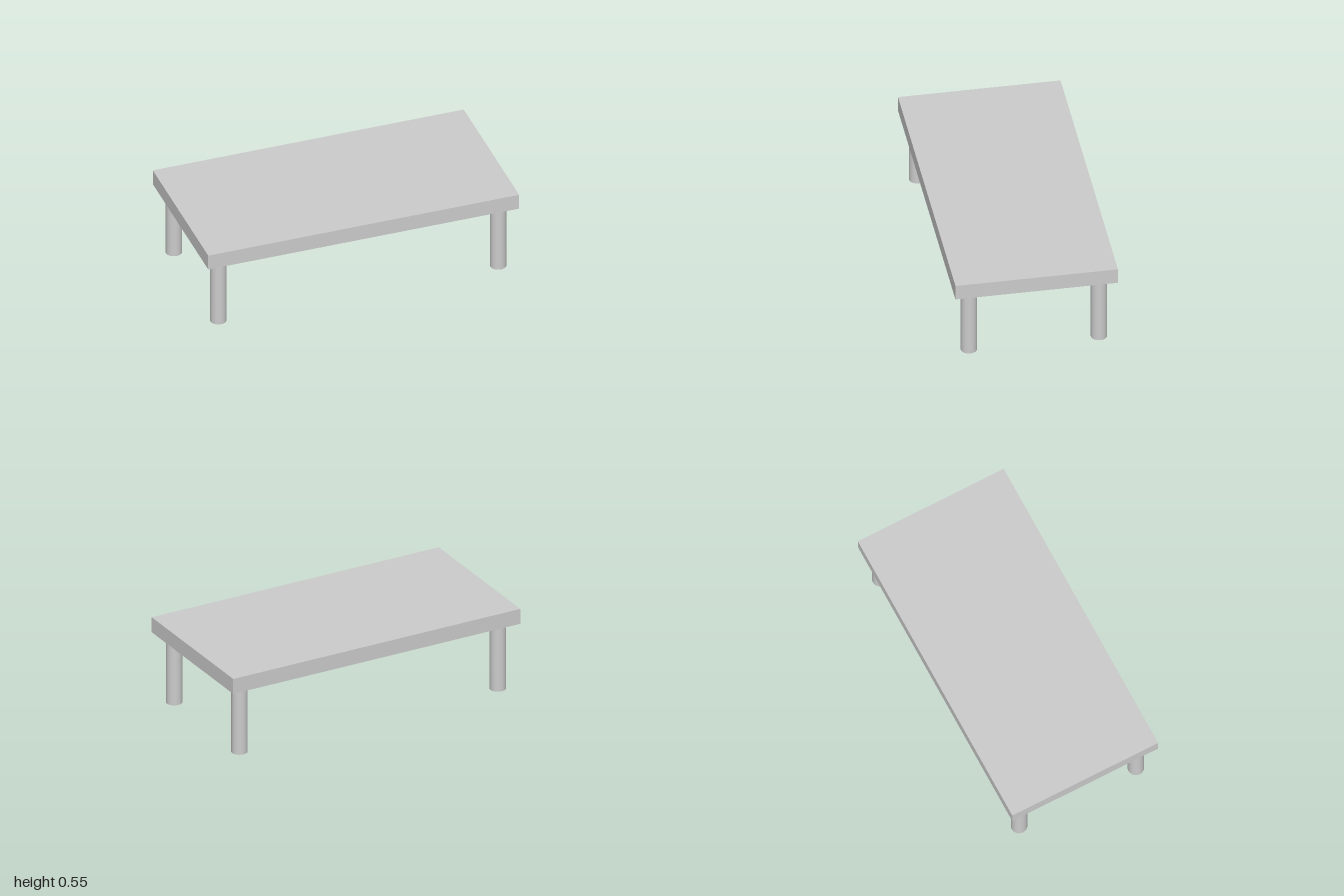
import * as THREE from 'three';

export function createModel() {
  const group = new THREE.Group();
  group.name = 'table';
  const material = new THREE.MeshStandardMaterial({ color: 0xcccccc });

  const legHeight = 0.45;
  const topThickness = 0.1;

  // Flat rectangular slab
  const top = new THREE.Mesh(new THREE.BoxGeometry(2, topThickness, 1), material);
  top.name = 'tableTop';
  top.position.y = legHeight + topThickness / 2;
  group.add(top);

  // Four round legs, one near each corner
  const legGeometry = new THREE.CylinderGeometry(0.05, 0.05, legHeight, 32);
  for (const [xName, x] of [['Left', 0.9], ['Right', -0.9]]) {
    for (const [zName, z] of [['front', 0.4], ['back', -0.4]]) {
      const leg = new THREE.Mesh(legGeometry, material);
      leg.name = `${zName}${xName}Leg`;
      leg.position.set(x, legHeight / 2, z);
      group.add(leg);
    }
  }

  return group;
}
